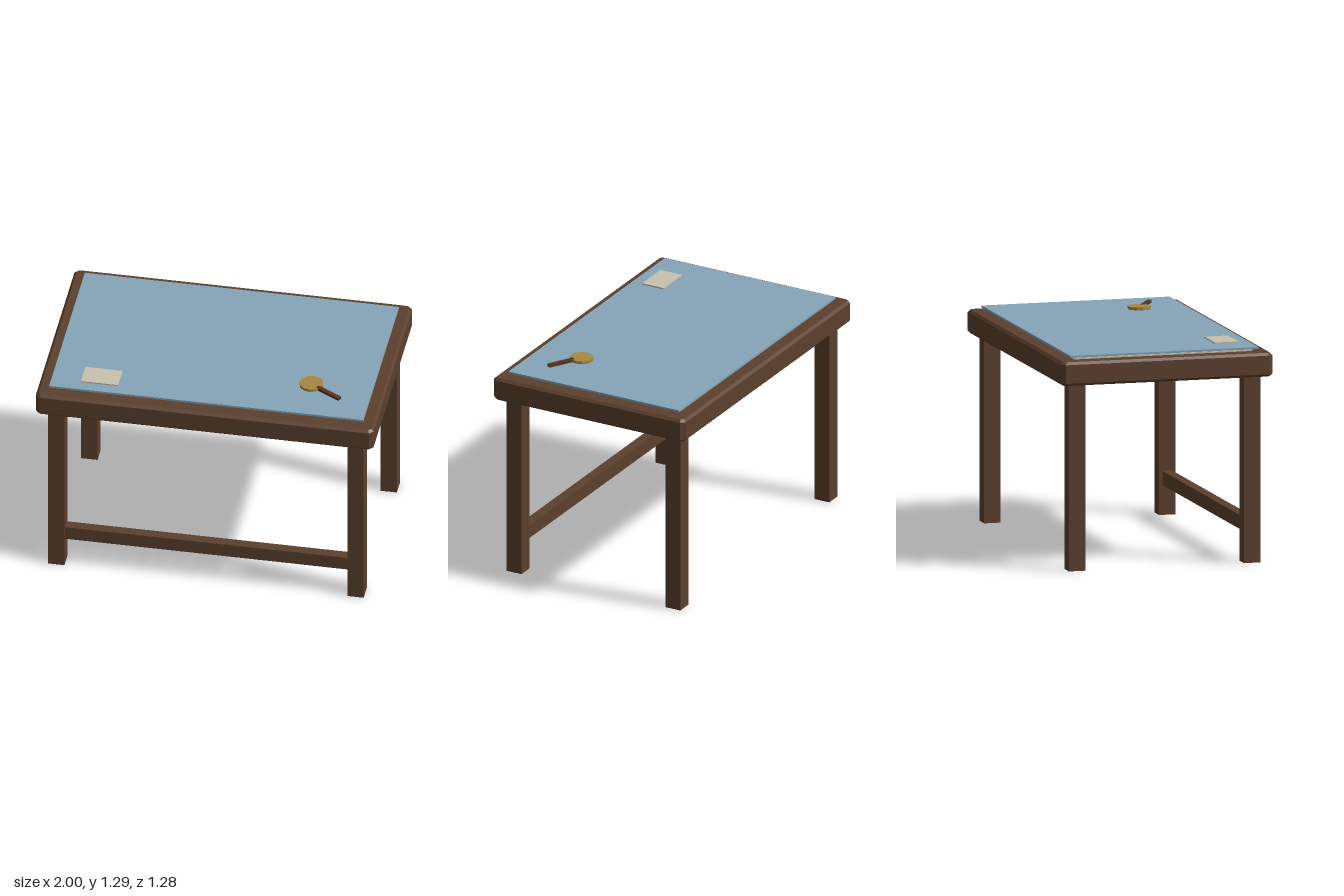
import * as THREE from 'three';

export function createModel() {
  const model = new THREE.Group();
  model.name = 'mapTable';

  const material = (name, color) => {
    const m = new THREE.MeshStandardMaterial({ color, flatShading: true });
    m.name = name;
    return m;
  };
  const wood = material('brown wood', 0x5c402d);
  const handleWood = material('dark handle wood', 0x563520);
  const glass = material('blue glass', 0x85a5b8);
  const paper = material('cream paper', 0xc8c1ae);
  const brass = material('brass', 0xa68845);

  const add = (name, geometry, mat, x, y, z) => {
    const mesh = new THREE.Mesh(geometry, mat);
    mesh.name = name;
    mesh.position.set(x, y, z);
    model.add(mesh);
    return mesh;
  };
  // Box given by its size, centre in x and z, and bottom height
  const box = (name, mat, w, h, d, x, y, z) =>
    add(name, new THREE.BoxGeometry(w, h, d), mat, x, y + h / 2, z);

  // Tabletop: slab with every edge chamfered
  const c = 0.015, hx = 1 - c, hz = 0.64 - c;
  const outline = new THREE.Shape([
    [-hx + c, -hz], [hx - c, -hz], [hx, -hz + c], [hx, hz - c],
    [hx - c, hz], [-hx + c, hz], [-hx, hz - c], [-hx, -hz + c],
  ].map(([x, y]) => new THREE.Vector2(x, y)));
  const slab = new THREE.ExtrudeGeometry(outline, {
    depth: 0.14 - 2 * c, bevelEnabled: true, bevelSegments: 1, bevelSize: c, bevelThickness: c,
  });
  slab.rotateX(-Math.PI / 2);
  add('tabletop', slab, wood, 0, 1.104 + c, 0);

  // Four square legs and the front stretcher
  for (const sx of [-1, 1]) {
    for (const sz of [-1, 1]) {
      box('leg', wood, 0.097, 1.105, 0.1, sx * 0.886, 0, sz * 0.53);
    }
  }
  box('stretcher', wood, 1.68, 0.083, 0.06, 0, 0.176, 0.53);

  // Sheets stacked under the glass
  box('paperSheet', paper, 1.8, 0.008, 1.08, 0, 1.244, 0);
  box('innerSheet', glass, 1.72, 0.007, 0.94, 0, 1.252, -0.04);
  box('glassCover', glass, 1.86, 0.012, 1.14, 0, 1.259, 0);

  // Note card
  box('noteCard', paper, 0.22, 0.008, 0.145, -0.645, 1.271, 0.428);

  // Magnifier: disc and angled handle
  add('magnifierDisc', new THREE.CylinderGeometry(0.07, 0.07, 0.016, 12), brass, 0.57, 1.279, 0.283);
  const handle = box('magnifierHandle', handleWood, 0.17, 0.017, 0.026, 0.685, 1.271, 0.356);
  handle.rotation.y = -0.52;

  return model;
}
